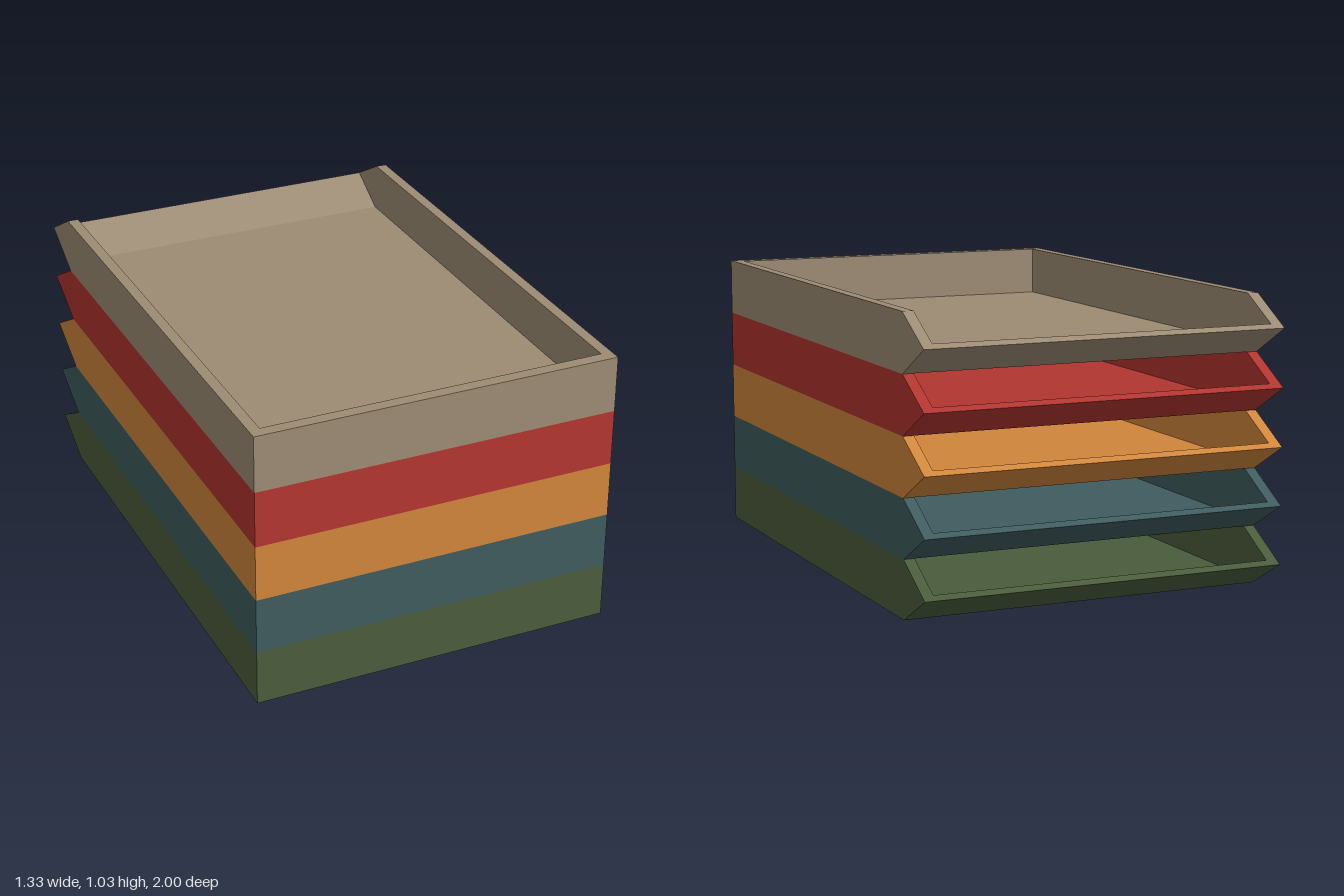
import * as THREE from 'three';

const H = 0.207;            // height of one tray
const W = 0.667, IW = 0.627; // outer and inner half widths

// side profiles as [y, z]: outer shell and cavity, both running
// front bottom, rear bottom, rear tip, rear top, front top
const OUTER = [[0, 1], [0, -0.815], [H / 2, -1], [H, -0.815], [H, 1]];
const INNER = [[0.028, 0.955], [0.028, -0.822], [0.1175, -0.975], [H, -0.815], [H, 0.955]];

function trayGeometry() {
  const pos = [];
  const face = (pts) => {
    for (let i = 1; i < pts.length - 1; i++) pos.push(...pts[0], ...pts[i], ...pts[i + 1]);
  };
  // a face and its mirror image on the other side
  const pair = (pts) => {
    face(pts);
    face(pts.map(([x, y, z]) => [-x, y, z]).reverse());
  };
  // a strip spanning the width between two profile points
  const strip = (p, wp, q, wq) => face([[wp, ...p], [-wp, ...p], [-wq, ...q], [wq, ...q]]);
  const [A, B, C, D, E] = OUTER, [a, b, c, d, e] = INNER;

  // outside: front, bottom, undercut rear slope
  strip(E, W, A, W);
  strip(A, W, B, W);
  strip(B, W, C, W);
  // cavity: front wall, floor, rear ramp
  strip(a, IW, e, IW);
  strip(b, IW, a, IW);
  strip(c, IW, b, IW);
  // rim: front edge, rear lip, side edges and their slanted ends
  strip(e, IW, E, W);
  strip(C, W, c, IW);
  pair([[W, ...E], [W, ...D], [IW, ...d], [IW, ...e]]);
  pair([[W, ...D], [W, ...C], [IW, ...c], [IW, ...d]]);
  // side walls, outside and inside
  pair(OUTER.map((p) => [W, ...p]));
  pair(INNER.map((p) => [IW, ...p]).reverse());

  const geo = new THREE.BufferGeometry();
  geo.setAttribute('position', new THREE.Float32BufferAttribute(pos, 3));
  geo.computeVertexNormals();
  return geo;
}

export function createModel() {
  const group = new THREE.Group();
  group.name = 'stackedTrays';
  const geo = trayGeometry();
  const colors = [
    ['green', 0x4a5b3c], ['blue', 0x3f5b5e], ['orange', 0xcf853b],
    ['red', 0xb13530], ['tan', 0x9c8b74],
  ];
  // five identical trays, bottom to top
  colors.forEach(([name, color], i) => {
    const material = new THREE.MeshStandardMaterial({ color });
    material.name = name;
    const tray = new THREE.Mesh(geo, material);
    tray.name = name + 'Tray';
    tray.position.y = i * H;
    group.add(tray);
  });
  return group;
}
